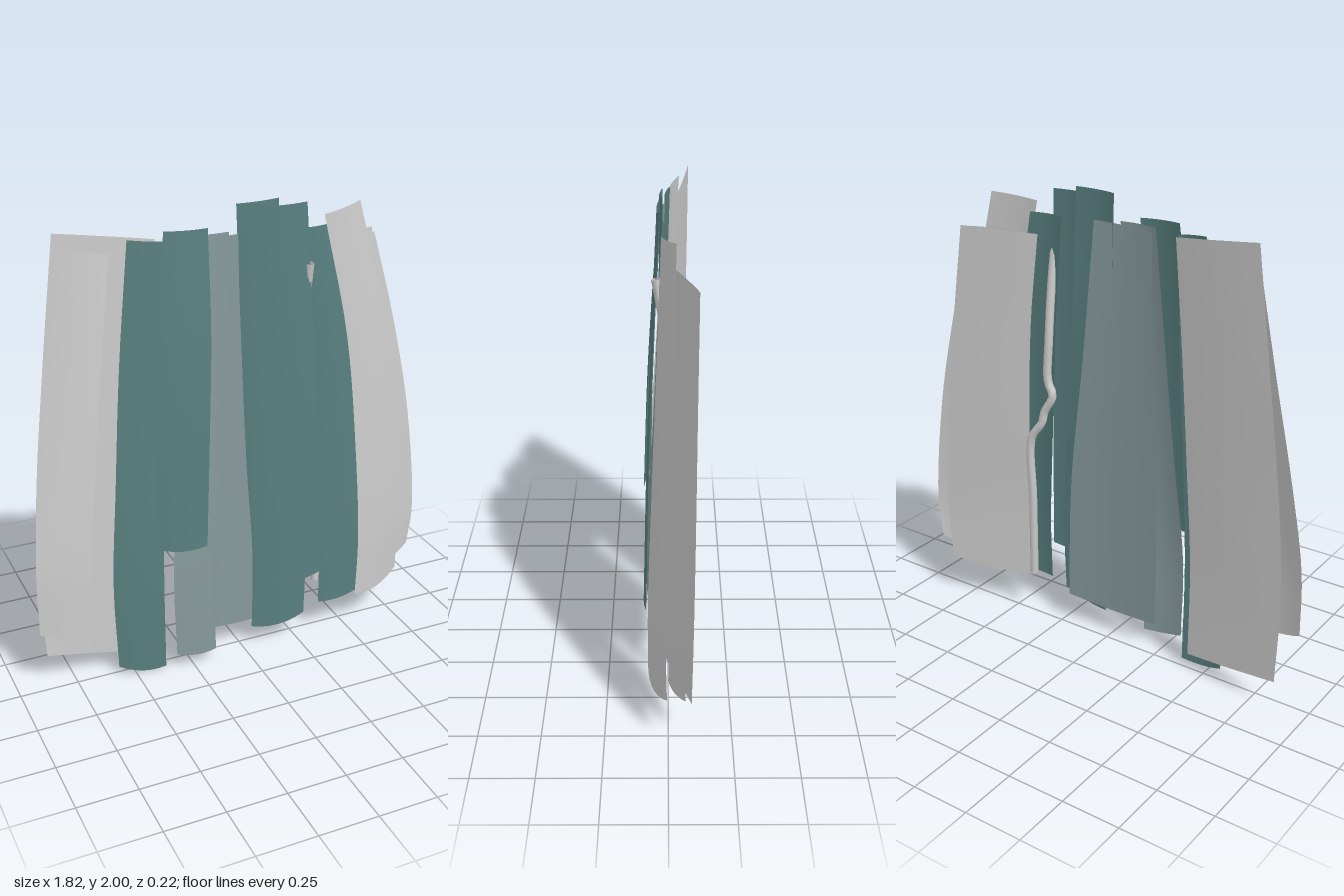
import * as THREE from 'three';

const GREY = 0xcccccc, TEAL = 0x587e7e, MIST = 0x86999b;

// Thin cloth strip ruled between two edge curves, each listed from top to bottom.
// bulge pushes the middle forward, sag lowers the middle of the hem.
function strip(name, color, left, right, bulge = 0.012, sag = 0.015) {
  const curve = (pts) => new THREE.CatmullRomCurve3(pts.map((p) => new THREE.Vector3(...p)));
  const a = curve(left), b = curve(right);
  const cols = 6, rows = 20;
  const geo = new THREE.PlaneGeometry(1, 1, cols, rows);
  const pos = geo.attributes.position, p = new THREE.Vector3();
  for (let r = 0; r <= rows; r++) {
    const t = r / rows, pa = a.getPoint(t), pb = b.getPoint(t);
    for (let c = 0; c <= cols; c++) {
      const u = c / cols, arch = 4 * u * (1 - u);
      p.lerpVectors(pa, pb, u);
      pos.setXYZ(r * (cols + 1) + c, p.x, p.y - sag * arch * t ** 6, p.z + bulge * arch);
    }
  }
  geo.computeVertexNormals();
  const mesh = new THREE.Mesh(geo, new THREE.MeshStandardMaterial({ color, side: THREE.DoubleSide }));
  mesh.name = name;
  return mesh;
}

export function createModel() {
  const group = new THREE.Group();
  group.name = 'stripSkirtPanel';
  group.add(
    // right side of the panel, outside to centre
    strip('rightBackStrip', GREY,
      [[-0.72, 1.93, -0.09], [-0.79, 1.4, -0.085], [-0.85, 0.9, -0.075], [-0.875, 0.5, -0.07], [-0.86, 0.13, -0.055]],
      [[-0.335, 1.88, -0.03], [-0.37, 1.4, -0.02], [-0.4, 0.9, -0.01], [-0.42, 0.5, 0], [-0.42, 0.07, 0]], -0.005, 0),
    strip('rightOuterStrip', GREY,
      [[-0.695, 1.885, -0.05], [-0.78, 1.4, -0.02], [-0.855, 0.98, 0.01], [-0.905, 0.6, 0.04], [-0.91, 0.31, 0.05]],
      [[-0.53, 1.85, 0], [-0.595, 1.4, 0.035], [-0.65, 0.95, 0.065], [-0.685, 0.6, 0.085], [-0.685, 0.27, 0.09]], 0.01, 0.02),
    strip('rightInnerStrip', TEAL,
      [[-0.455, 1.895, -0.01], [-0.51, 1.4, 0.005], [-0.55, 0.9, 0.02], [-0.58, 0.45, 0.025], [-0.57, 0.04, 0.02]],
      [[-0.32, 1.88, 0.01], [-0.33, 1.4, 0.025], [-0.35, 0.9, 0.04], [-0.365, 0.45, 0.05], [-0.365, 0.005, 0.045]], 0.01, 0.016),
    strip('rightShortStrip', TEAL,
      [[-0.32, 1.92, 0.02], [-0.36, 1.5, 0.045], [-0.39, 1.1, 0.065], [-0.415, 0.61, 0.075]],
      [[-0.14, 1.915, 0.025], [-0.145, 1.5, 0.06], [-0.165, 1.1, 0.085], [-0.19, 0.59, 0.105]]),
    strip('rightCentreStrip', MIST,
      [[-0.22, 1.89, 0.01], [-0.26, 1.4, 0.03], [-0.3, 0.9, 0.055], [-0.335, 0.45, 0.085], [-0.33, 0.08, 0.09]],
      [[-0.05, 1.89, 0.022], [-0.08, 1.4, 0.035], [-0.115, 0.9, 0.055], [-0.15, 0.45, 0.075], [-0.145, 0.055, 0.08]], 0.01, 0.01),

    // centre
    strip('centreBackStrip', MIST,
      [[-0.2, 1.87, 0.012], [-0.22, 1.3, 0.015], [-0.24, 0.7, 0.018], [-0.24, 0.14, 0.02]],
      [[0.07, 1.88, 0.012], [0.13, 1.3, 0.015], [0.2, 0.7, 0.018], [0.22, 0.14, 0.02]], 0.012, 0.015),
    strip('centreFrontStrip', TEAL,
      [[-0.02, 1.995, 0.02], [0, 1.4, 0.027], [0.02, 0.9, 0.033], [0.045, 0.45, 0.045], [0.04, 0.1, 0.05]],
      [[0.16, 2, 0.02], [0.2, 1.4, 0.035], [0.25, 0.9, 0.055], [0.285, 0.45, 0.075], [0.28, 0.13, 0.08]], 0.01, 0.02),

    // left side of the panel, centre to outside
    strip('leftShortStrip', TEAL,
      [[0.075, 1.975, 0.03], [0.09, 1.5, 0.05], [0.11, 1, 0.07], [0.13, 0.32, 0.09]],
      [[0.28, 1.975, 0.03], [0.305, 1.5, 0.055], [0.335, 1, 0.075], [0.355, 0.33, 0.09]], 0.012, 0.01),
    strip('leftInnerStrip', TEAL,
      [[0.23, 1.87, 0.015], [0.28, 1.4, 0.03], [0.32, 0.9, 0.05], [0.355, 0.45, 0.07], [0.355, 0.16, 0.075]],
      [[0.385, 1.87, 0.01], [0.48, 1.4, 0.03], [0.53, 0.9, 0.05], [0.555, 0.45, 0.065], [0.55, 0.17, 0.065]], 0.012, 0.005),
    strip('leftOuterStrip', GREY,
      [[0.36, 1.915, 0.025], [0.47, 1.4, 0.045], [0.52, 0.9, 0.065], [0.545, 0.45, 0.08], [0.54, 0.155, 0.08]],
      [[0.55, 1.94, -0.03], [0.69, 1.4, -0.015], [0.755, 0.9, 0], [0.79, 0.5, 0.01], [0.79, 0.2, 0.005]], 0.012, 0.025),
    strip('leftEdgeStrip', GREY,
      [[0.47, 1.79, -0.03], [0.55, 1.4, -0.025], [0.64, 0.9, -0.015], [0.69, 0.5, -0.005], [0.69, 0.22, 0]],
      [[0.645, 1.79, -0.07], [0.755, 1.4, -0.065], [0.855, 0.95, -0.065], [0.91, 0.45, -0.065], [0.89, 0.27, -0.065]], 0.008, 0.01),
    strip('leftBackStrip', GREY,
      [[0.33, 1.79, -0.015], [0.38, 1.4, -0.01], [0.41, 0.9, 0], [0.425, 0.5, 0.015], [0.42, 0.17, 0.025]],
      [[0.655, 1.8, -0.11], [0.72, 1.4, -0.105], [0.79, 0.9, -0.1], [0.82, 0.5, -0.095], [0.81, 0.2, -0.09]], -0.004, 0.01),
  );

  // kinked cord hanging behind the left strips
  const path = new THREE.CatmullRomCurve3([
    [0.29, 1.73, 0.045], [0.29, 1.58, 0.02], [0.29, 1.35, -0.005], [0.295, 1.16, -0.01], [0.27, 1.1, -0.012],
    [0.31, 1.02, -0.02], [0.32, 0.97, -0.025], [0.37, 0.89, -0.035], [0.375, 0.6, -0.03], [0.385, 0.22, -0.02],
  ].map((p) => new THREE.Vector3(...p)));
  const cord = new THREE.Mesh(
    new THREE.TubeGeometry(path, 60, 0.018, 8),
    new THREE.MeshStandardMaterial({ color: GREY, side: THREE.DoubleSide }));
  cord.name = 'cord';
  group.add(cord);
  return group;
}
